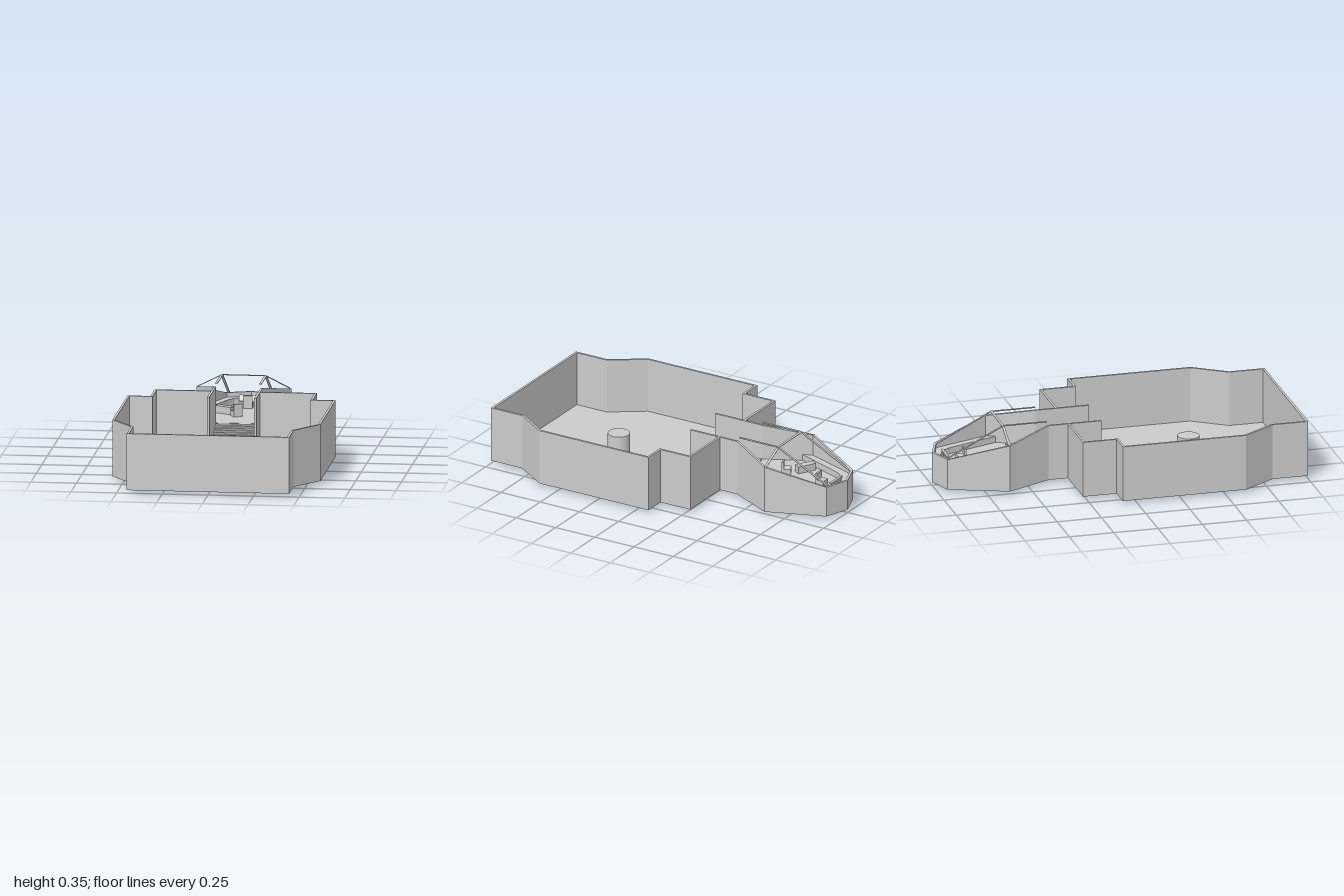
import * as THREE from 'three';

const material = new THREE.MeshStandardMaterial({ color: 0xcccccc, flatShading: true, side: THREE.DoubleSide });
const BASE = 0.017, TOP = 0.33, DECK = 0.13, THICK = 0.013;

// Left half of the hull outline: x, z, wall top
const half = [
  [0.445, 1, TOP], [0.445, 0.8, TOP], [0.57, 0.615, TOP], [0.57, -0.08, TOP],
  [0.445, -0.08, TOP], [0.445, -0.27, TOP], [0.135, -0.27, TOP], [0.135, -0.38, TOP],
  [0.26, -0.63, 0.28], [0.14, -0.95, 0.19],
];
const mirrored = (pts) => pts.map(([x, ...rest]) => [-x, ...rest]).reverse();
const outline = [...half, [0, -1, 0.19], ...mirrored(half)];

function add(parent, name, geometry, x = 0, y = 0, z = 0) {
  const mesh = new THREE.Mesh(geometry, material);
  mesh.name = name;
  mesh.position.set(x, y, z);
  parent.add(mesh);
  return mesh;
}

const box = (parent, name, w, h, d, x, y, z) =>
  add(parent, name, new THREE.BoxGeometry(w, h, d), x, y, z);

// Flat plate from x, z points, standing on y
function slab(parent, name, pts, y, height) {
  const shape = new THREE.Shape(pts.map(([x, z]) => new THREE.Vector2(x, -z)));
  const geometry = new THREE.ExtrudeGeometry(shape, { depth: height, bevelEnabled: false });
  return add(parent, name, geometry.rotateX(-Math.PI / 2), 0, y, 0);
}

// Flat strip between two points
function bar(parent, name, a, b, width, height) {
  const from = new THREE.Vector3(...a), to = new THREE.Vector3(...b);
  const mesh = add(parent, name, new THREE.BoxGeometry(width, height, from.distanceTo(to)));
  mesh.position.copy(from).lerp(to, 0.5);
  mesh.lookAt(to);
}

// Outline moved inward by t with mitred corners
function inset(pts, t) {
  const n = pts.length;
  const normal = (i) => {
    const p = pts[(i + n) % n], q = pts[(i + 1) % n];
    return new THREE.Vector2(q[1] - p[1], p[0] - q[0]).normalize();
  };
  return pts.map(([x, z, top], i) => {
    const a = normal(i - 1), b = normal(i);
    const m = a.clone().add(b).multiplyScalar(t / (1 + a.dot(b)));
    return [x + m.x, z + m.y, top];
  });
}

// Closed wall of constant thickness with varying top height
function wallGeometry(outer, t) {
  const inner = inset(outer, t), positions = [];
  const quad = (a, b, c, d) => positions.push(...a, ...b, ...c, ...a, ...c, ...d);
  const low = ([x, z]) => [x, BASE, z], high = ([x, z, top]) => [x, top, z];
  outer.forEach((o, i) => {
    const j = (i + 1) % outer.length, o2 = outer[j], p = inner[i], p2 = inner[j];
    quad(low(o), low(o2), high(o2), high(o));
    quad(low(p2), low(p), high(p), high(p2));
    quad(high(o), high(o2), high(p2), high(p));
    quad(low(o2), low(o), low(p), low(p2));
  });
  const geometry = new THREE.BufferGeometry();
  geometry.setAttribute('position', new THREE.Float32BufferAttribute(positions, 3));
  geometry.computeVertexNormals();
  return geometry;
}

function chair(name, x, z, turn) {
  const group = new THREE.Group();
  group.name = name;
  box(group, 'seatBase', 0.05, 0.03, 0.05, 0, 0.015, 0);
  box(group, 'seatBack', 0.05, 0.04, 0.012, 0, 0.05, 0.019);
  group.position.set(x, DECK, z);
  group.rotation.y = turn;
  return group;
}

export function createModel() {
  const model = new THREE.Group();
  model.name = 'shipInterior';

  // Hull
  add(model, 'hullWall', wallGeometry(outline, THICK));
  const mainHalf = half.slice(0, 6);
  slab(model, 'mainFloor', inset([...mainHalf, ...mirrored(mainHalf)], 0.001), BASE, 0.005);
  add(model, 'pedestal', new THREE.CylinderGeometry(0.061, 0.061, 0.145, 32), 0.01, 0.0725, 0.45);

  // Corridor walls and stairs up to the cockpit
  for (const s of [-1, 1])
    box(model, 'corridorWall', THICK, TOP - BASE, 0.2, s * 0.1285, (TOP + BASE) / 2, -0.18);
  const steps = 14, run = 0.3 / steps, rise = (DECK - BASE) / steps;
  const stairs = new THREE.Group();
  stairs.name = 'stairs';
  model.add(stairs);
  for (let i = 0; i < steps; i++)
    box(stairs, 'step', 0.245, rise * 1.3, run, 0,
      BASE + rise * (i + 1) - rise * 0.65, -0.08 - run * (i + 0.5));

  // Cockpit deck
  const deckHalf = half.slice(7);
  const deck = [...deckHalf, [0, -1, 0], ...mirrored(deckHalf)];
  slab(model, 'cockpitFloor', inset(deck, 0.006), DECK - 0.005, 0.005);

  // Console wrapping around the cockpit wall
  const consoleOuter = [[0.243, -0.63], [0.13, -0.942], [0, -0.987]];
  const consoleInner = [[0.22, -0.58], [0.115, -0.86], [0.085, -0.91], [0, -0.957]];
  const left = (pts) => pts.slice(0, -1);
  slab(model, 'console', [
    ...consoleOuter, ...mirrored(left(consoleOuter)),
    ...left(consoleInner).map(([x, z]) => [-x, z]), ...consoleInner.slice().reverse(),
  ], DECK, 0.035);
  const screen = box(model, 'screen', 0.12, 0.035, 0.012, 0, 0.165, -0.92);
  screen.rotation.x = -0.4;

  // Seats and side station
  model.add(chair('pilotSeat', 0, -0.835, 0));
  model.add(chair('sideSeat', -0.035, -0.59, 0.5));
  const station = box(model, 'sideStation', 0.11, 0.04, 0.04, -0.11, DECK + 0.02, -0.665);
  station.rotation.y = -0.5;

  // Canopy frame
  const canopy = new THREE.Group();
  canopy.name = 'canopyFrame';
  model.add(canopy);
  const ridge = 0.349;
  bar(canopy, 'crossBar', [-0.12, ridge, -0.632], [0.12, ridge, -0.632], 0.014, 0.003);
  for (const s of [-1, 1]) {
    bar(canopy, 'crossBarEnd', [s * 0.12, ridge, -0.632], [s * 0.255, 0.281, -0.632], 0.014, 0.003);
    bar(canopy, 'topBeam', [s * 0.12, ridge, -0.385], [s * 0.12, ridge, -0.632], 0.014, 0.003);
    bar(canopy, 'slopedBeam', [s * 0.12, ridge, -0.632], [s * 0.12, 0.19, -0.945], 0.014, 0.003);
  }

  return model;
}
